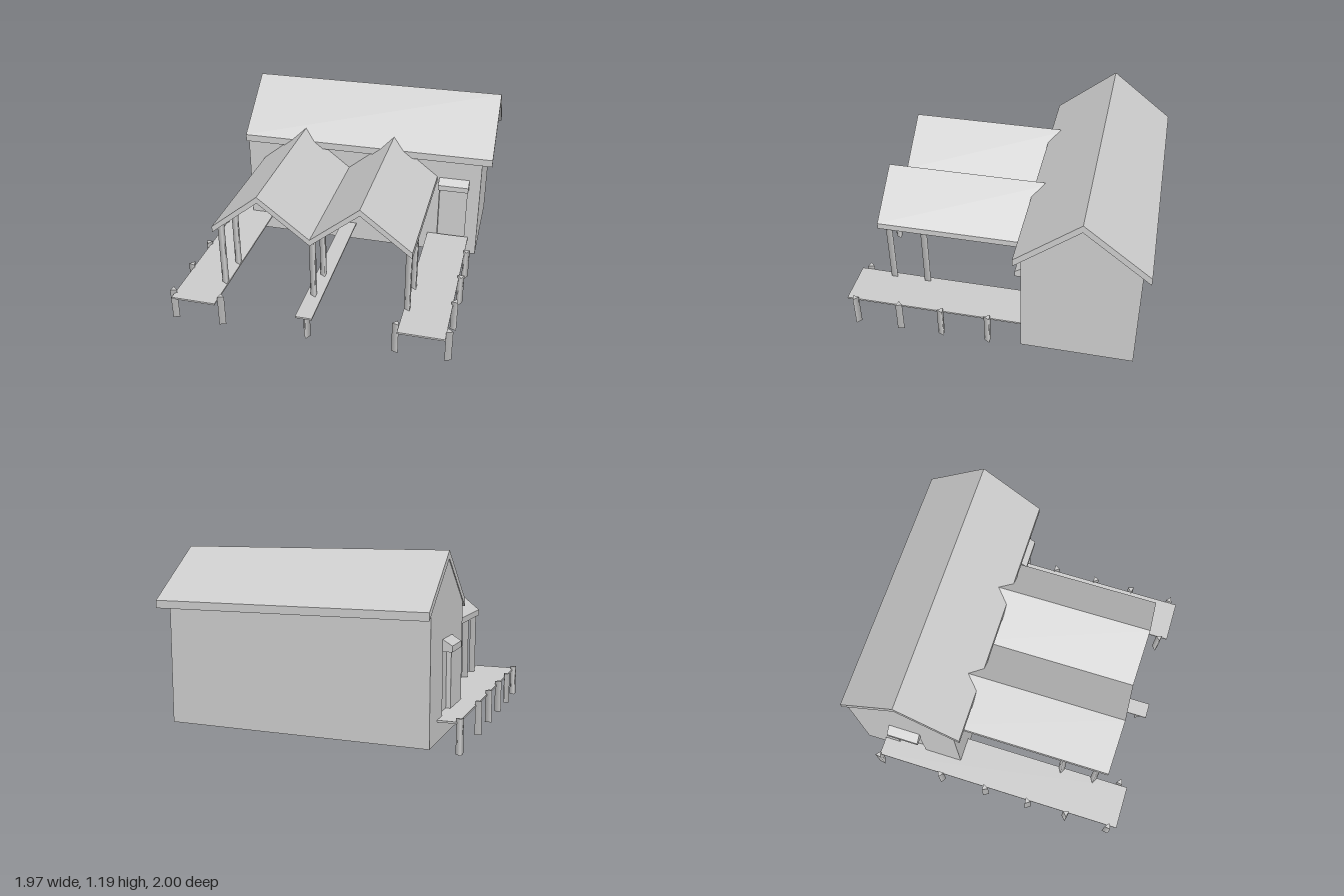
import * as THREE from 'three';

const material = new THREE.MeshStandardMaterial({ color: 0xcccccc });

function outline(points, hole) {
  const shape = new THREE.Shape(points.map(([u, v]) => new THREE.Vector2(u, v)));
  if (hole) shape.holes.push(new THREE.Path(hole.map(([u, v]) => new THREE.Vector2(u, v))));
  return shape;
}

// Profile in (x, y), swept from z0 to z1
function sweepZ(points, z0, z1, hole) {
  const g = new THREE.ExtrudeGeometry(outline(points, hole), { depth: z1 - z0, bevelEnabled: false });
  return g.translate(0, 0, z0);
}

// Profile in (z, y), swept from x0 to x1
function sweepX(points, x0, x1, hole) {
  const g = new THREE.ExtrudeGeometry(outline(points, hole), { depth: x1 - x0, bevelEnabled: false });
  return g.rotateY(-Math.PI / 2).translate(x1, 0, 0);
}

const rect = (u0, u1, v0, v1) => [[u0, v0], [u1, v0], [u1, v1], [u0, v1]];

// Closed band: a ridge line with the given vertical thickness below it
function band(line, thickness) {
  return [...line, ...line.map(([u, v]) => [u, v - thickness]).reverse()];
}

export function createModel() {
  const model = new THREE.Group();
  const add = (name, geometry) => {
    const mesh = new THREE.Mesh(geometry, material);
    mesh.name = name;
    model.add(mesh);
    return mesh;
  };

  // House: solid core with outer wall layers that leave the doorways recessed
  const ridgeZ = -0.58, front = -0.21, back = -0.95, recess = 0.03;
  const wallTop = (z) => 1.145 - Math.abs(z - ridgeZ) * 0.81;
  const gable = (zFront) => [
    [zFront, 0.06], [zFront, wallTop(zFront)], [ridgeZ, wallTop(ridgeZ)],
    [back, wallTop(back)], [back, 0.06],
  ];
  add('houseCore', sweepX(gable(front - recess), -0.82 + recess, 0.91));
  add('frontWall', sweepZ(rect(-0.82 + recess, 0.91, 0.06, wallTop(front)),
    front - recess, front, rect(0.62, 0.82, 0.165, 0.61)));
  add('sideWall', sweepX(gable(front), -0.82, -0.82 + recess, rect(-0.68, -0.48, 0.165, 0.61)));

  // Main roof
  add('mainRoof', sweepX(band([[-0.17, 0.86], [ridgeZ, 1.19], [-1, 0.86]], 0.05), -0.825, 0.98));

  // Twin porch roof running into the main roof
  add('porchRoof', sweepZ(band([[-0.7, 0.67], [-0.385, 0.925], [-0.05, 0.665],
    [0.27, 0.925], [0.6, 0.67]], 0.042), -0.3, 0.825));

  // Door canopies
  add('frontCanopy', sweepX([[front, 0.59], [front, 0.665], [-0.155, 0.628], [-0.155, 0.59]], 0.615, 0.83));
  add('sideCanopy', sweepZ([[-0.82, 0.59], [-0.82, 0.665], [-0.88, 0.628], [-0.88, 0.59]], -0.69, -0.47));

  // Walkways
  for (const [name, x0, x1, z0] of [
    ['rightWalkway', -0.95, -0.65, -0.79],
    ['middleWalkway', -0.105, 0.005, front],
    ['leftWalkway', 0.55, 0.85, front],
  ]) add(name, sweepZ(rect(x0, x1, 0.184, 0.196), z0, 1));

  // Three-sided posts
  const post = (name, x, z, y0, y1, turn) => {
    const g = new THREE.CylinderGeometry(0.026, 0.026, y1 - y0, 3);
    const mesh = add(name, g);
    mesh.position.set(x, (y0 + y1) / 2, z);
    mesh.rotation.y = turn;
  };
  const rows = [-0.79, -0.32, 0.02, 0.34, 0.63, 0.94];
  const turns = [1.4, -1.6, 0, 0.1, -1.3, 1.4];
  rows.forEach((z, i) => {
    post('walkwayPost', -0.96, z, 0, 0.22, turns[i]);
    if (z > 0) post('walkwayPost', 0.865, z, 0, 0.22, turns[i]);
  });
  post('walkwayPost', -0.63, 0.94, 0, 0.22, 1.4);
  post('walkwayPost', 0.535, 0.94, 0, 0.22, -1.3);
  post('middleWalkwayPost', -0.05, 0.94, 0, 0.185, 0);

  // Posts carrying the porch roof
  for (const [x, top] of [[-0.668, 0.66], [-0.05, 0.635], [0.575, 0.655]])
    for (const z of [0.51, 0.75]) post('porchPost', x, z, 0.18, top, Math.PI / 6);

  return model;
}
